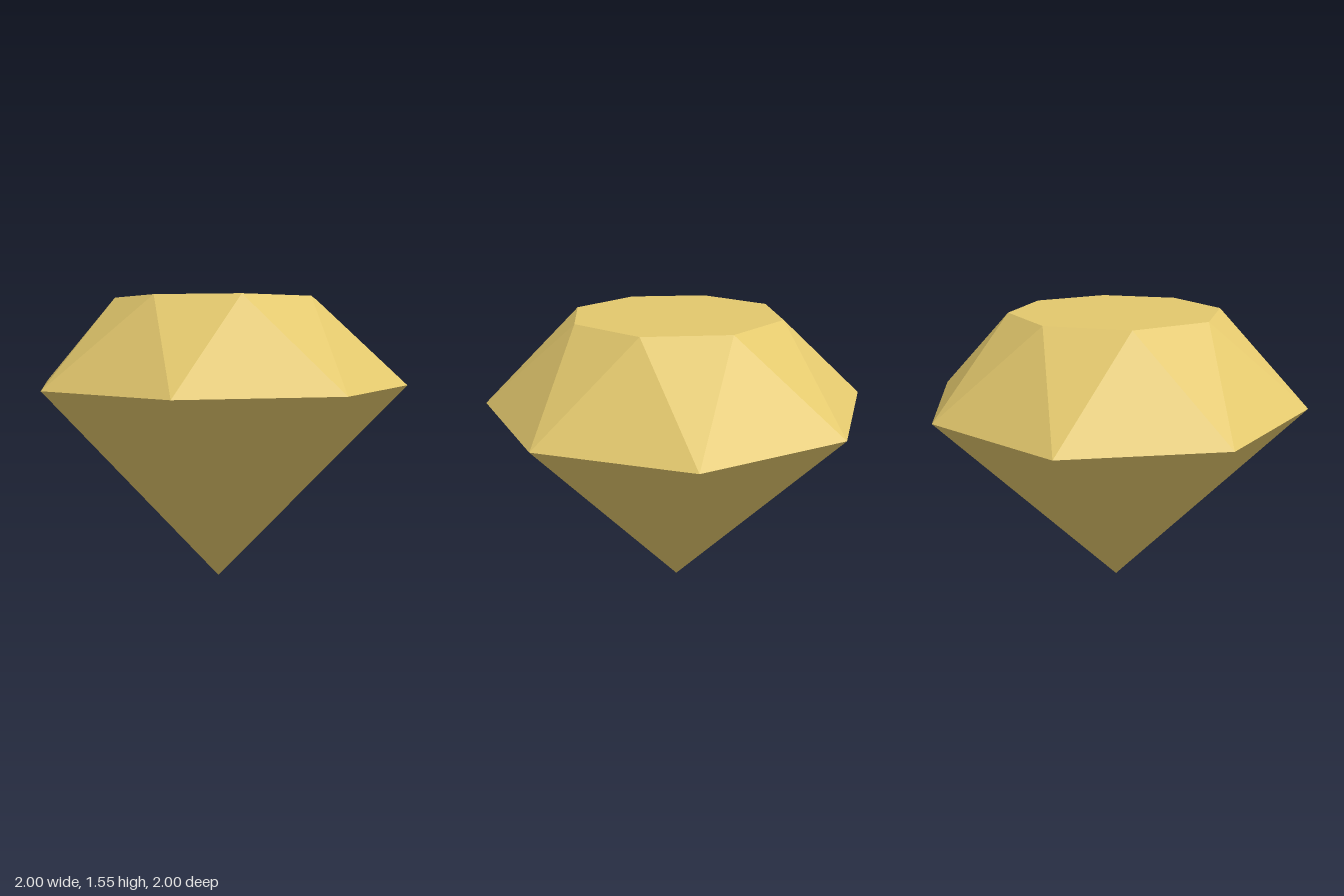
import * as THREE from 'three';

const SIDES = 8;
const GIRDLE_Y = 1.1, TABLE_Y = 1.55;
const GIRDLE_R = 1, TABLE_R = 0.55;

// Corner of an octagonal ring; step may be fractional to turn the ring
function corner(step, radius, y) {
  const a = (step / SIDES) * Math.PI * 2;
  return [Math.sin(a) * radius, y, Math.cos(a) * radius];
}
const girdle = (i) => corner(i, GIRDLE_R, GIRDLE_Y);
const table = (i) => corner(i + 0.5, TABLE_R, TABLE_Y);

// Faceted mesh from the triangles made for each side of the gem
function facets(name, material, trianglesForSide) {
  const points = [];
  for (let i = 0; i < SIDES; i++) points.push(...trianglesForSide(i).flat());
  const geometry = new THREE.BufferGeometry();
  geometry.setAttribute('position', new THREE.Float32BufferAttribute(points, 3));
  geometry.computeVertexNormals();
  const mesh = new THREE.Mesh(geometry, material);
  mesh.name = name;
  return mesh;
}

export function createModel() {
  const gold = new THREE.MeshStandardMaterial({ color: 0xe3c86d });
  gold.name = 'gold';

  const gem = new THREE.Group();
  gem.name = 'gem';

  // Flat octagon on top
  gem.add(facets('table', gold, (i) => [[0, TABLE_Y, 0], table(i), table(i + 1)]));

  // Alternating triangles between the girdle and the turned table
  gem.add(facets('crown', gold, (i) => [
    girdle(i), girdle(i + 1), table(i),
    table(i), girdle(i + 1), table(i + 1),
  ]));

  // Lower facets meeting at the point
  gem.add(facets('pavilion', gold, (i) => [[0, 0, 0], girdle(i + 1), girdle(i)]));

  return gem;
}
